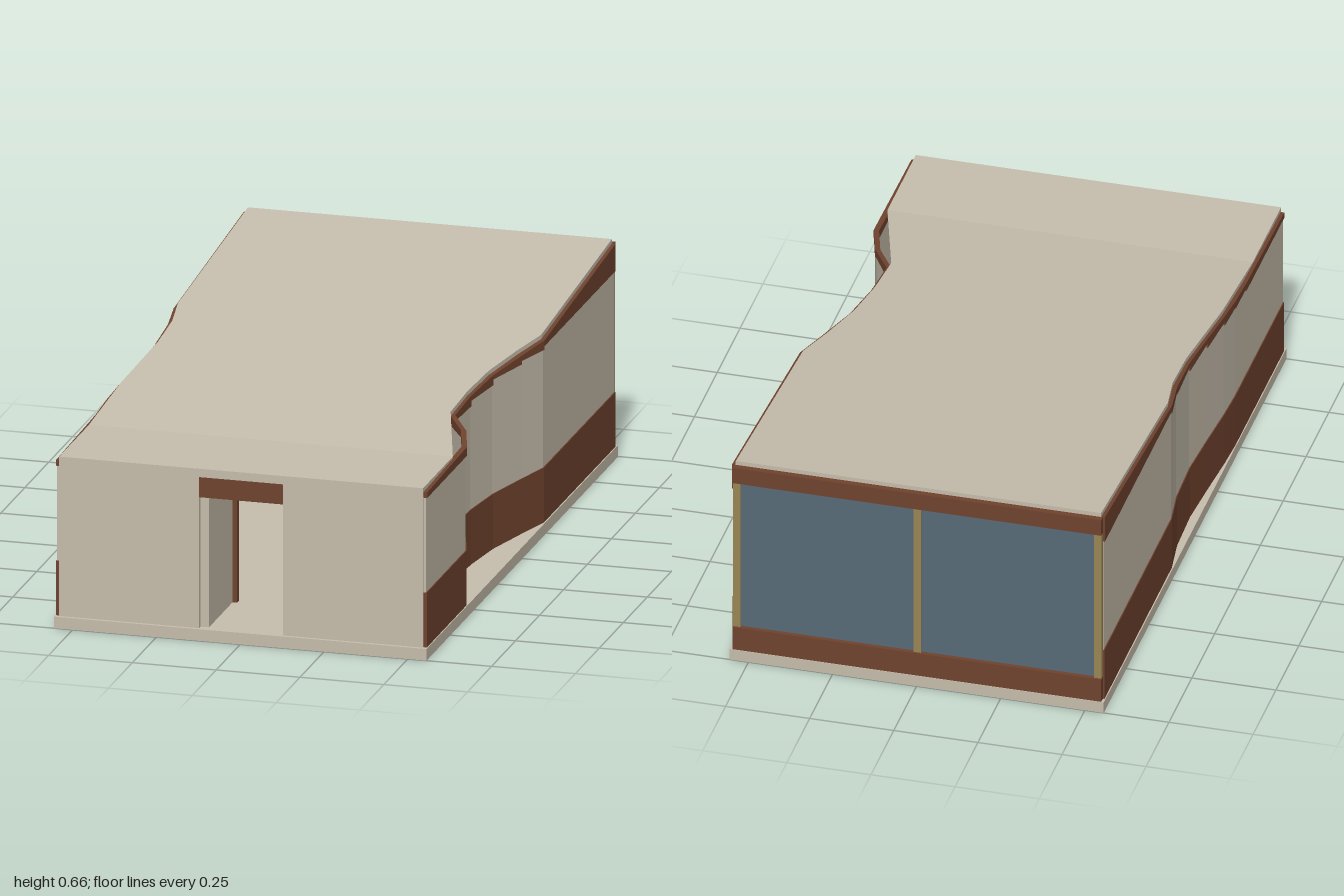
import * as THREE from 'three';

const paint = (name, color) => {
  const m = new THREE.MeshStandardMaterial({ color });
  m.name = name;
  return m;
};

// Solid swept from front to back through rectangles { z, x0, x1, y0, y1 }
function loft(sections) {
  const pos = [];
  const corners = sections.map(({ z, x0, x1, y0, y1 }) => {
    const a = Math.min(x0, x1), b = Math.max(x0, x1);
    return [[a, y0, z], [b, y0, z], [b, y1, z], [a, y1, z]];
  });
  const quad = (a, b, c, d) => pos.push(...a, ...b, ...c, ...a, ...c, ...d);
  const first = corners[0], last = corners[corners.length - 1];
  quad(...first);
  quad(last[3], last[2], last[1], last[0]);
  for (let i = 0; i + 1 < corners.length; i++) {
    const p = corners[i], q = corners[i + 1];
    for (let k = 0; k < 4; k++) {
      const n = (k + 1) % 4;
      quad(p[k], q[k], q[n], p[n]);
    }
  }
  const g = new THREE.BufferGeometry();
  g.setAttribute('position', new THREE.Float32BufferAttribute(pos, 3));
  g.computeVertexNormals();
  return g;
}

// Roof is level over the porch end, then rises steadily to the back
const roofTop = z => 0.515 + 0.145 * Math.max(0, (0.68 - z) / 1.66);
const ROOF = 0.013;
const FLOOR = 0.035;

// Wall stations: z, outer x of right-hand edge, outer x of opposite edge
const stations = [
  [0.985, 0.55, 0.55], [0.57, 0.55, 0.55], [0.455, 0.515, 0.55], [0.35, 0.452, 0.546],
  [0.2, 0.457, 0.536], [0.04, 0.477, 0.527], [-0.12, 0.517, 0.532], [-0.24, 0.549, 0.549],
  [-0.98, 0.55, 0.55],
];
// Stepped top of the pale panel in each bay
const panelTops = [0.485, 0.495, 0.5, 0.512, 0.528, 0.545, 0.555, 0.565];

// Roof stations: z, left edge x, right edge x
const roofEdges = [
  [0.99, -0.543, 0.543], [0.68, -0.543, 0.543], [0.36, -0.54, 0.445], [0.2, -0.53, 0.45],
  [0.04, -0.52, 0.468], [-0.12, -0.523, 0.505], [-0.25, -0.543, 0.541], [-0.98, -0.543, 0.543],
];

export function createModel() {
  const model = new THREE.Group();
  model.name = 'pavilion';
  const stone = paint('pale plaster', 0xc6bdac);
  const brown = paint('brown timber', 0x70432e);
  const glass = paint('blue grey glass', 0x586a78);
  const brass = paint('tan frame', 0x9a8454);

  const add = (parent, name, geometry, material) => {
    const mesh = new THREE.Mesh(geometry, material);
    mesh.name = name;
    parent.add(mesh);
    return mesh;
  };
  const box = (parent, name, material, x0, x1, y0, y1, z0, z1) => {
    const mesh = add(parent, name, new THREE.BoxGeometry(x1 - x0, y1 - y0, z1 - z0), material);
    mesh.position.set((x0 + x1) / 2, (y0 + y1) / 2, (z0 + z1) / 2);
  };

  box(model, 'floorSlab', stone, -0.556, 0.556, 0, FLOOR, -1, 1);

  // Roof sheet
  add(model, 'roof', loft(roofEdges.map(([z, x0, x1]) => (
    { z, x0, x1, y0: roofTop(z) - ROOF, y1: roofTop(z) }))), stone);

  // Side walls: brown base, pale panel and brown band under the roof
  for (const [side, column, name] of [[1, 1, 'leftWall'], [-1, 2, 'rightWall']]) {
    const wall = new THREE.Group();
    wall.name = name;
    model.add(wall);
    const strip = (list, proud, low, high) => loft(list.map(s => ({
      z: s[0], x0: side * (s[column] - 0.012), x1: side * (s[column] + proud),
      y0: low, y1: high ?? roofTop(s[0]) - ROOF,
    })));
    add(wall, 'wallBase', strip(stations, 0.003, FLOOR, 0.2), brown);
    panelTops.forEach((top, i) => {
      const bay = stations.slice(i, i + 2);
      add(wall, 'wallPanel', strip(bay, 0, 0.2, top), stone);
      add(wall, 'eavesBand', strip(bay, 0.004, top), brown);
    });
  }

  // Front wall with doorway, lintel and door swung inward
  const front = new THREE.Group();
  front.name = 'frontWall';
  model.add(front);
  for (const s of [-1, 1]) {
    const a = s * 0.125, b = s * 0.543;
    box(front, 'frontPanel', stone, Math.min(a, b), Math.max(a, b), FLOOR, 0.502, 0.975, 0.99);
  }
  box(front, 'fascia', stone, -0.125, 0.125, 0.49, 0.502, 0.975, 0.99);
  box(front, 'doorLintel', brown, -0.125, 0.125, 0.43, 0.49, 0.975, 0.992);
  box(front, 'openDoor', stone, -0.125, -0.1, FLOOR, 0.43, 0.73, 0.975);
  box(front, 'doorEdge', brown, -0.105, -0.086, FLOOR, 0.415, 0.71, 0.73);

  // Glazed back wall
  const back = new THREE.Group();
  back.name = 'backWall';
  model.add(back);
  box(back, 'backSill', brown, -0.548, 0.548, FLOOR, 0.11, -0.998, -0.975);
  box(back, 'backHeader', brown, -0.548, 0.548, 0.595, 0.647, -0.998, -0.975);
  box(back, 'backGlass', glass, -0.54, 0.54, 0.11, 0.595, -0.985, -0.98);
  for (const x of [-0.537, 0, 0.537])
    box(back, 'mullion', brass, x - 0.011, x + 0.011, 0.11, 0.595, -0.993, -0.973);

  return model;
}
